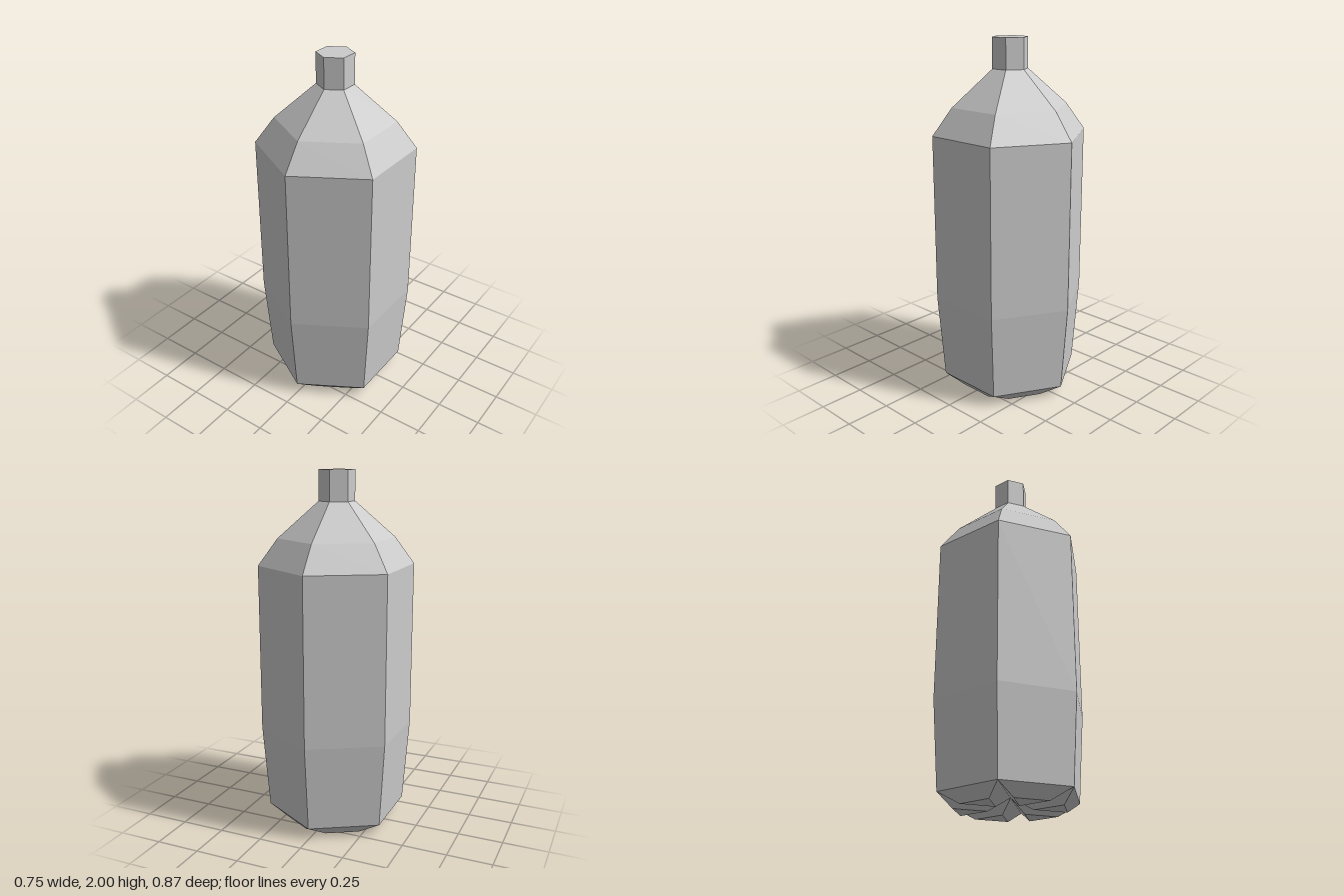
import * as THREE from 'three';

const SIDES = 6;
const BASE_RADIUS = 0.398; // corner radius where the body meets the feet
const FOOT_HEIGHT = 0.065;

export function createModel() {
  const model = new THREE.Group();
  model.name = 'bottle';
  const material = new THREE.MeshStandardMaterial({ color: 0xcccccc, flatShading: true });

  // Six-sided body, shoulder and neck in one turned profile, closed at the top
  const profile = [
    [BASE_RADIUS, FOOT_HEIGHT],
    [0.435, 0.55],
    [0.435, 1.487],
    [0.326, 1.635],
    [0.1, 1.833],
    [0.1, 2],
    [0, 2],
  ].map(([r, y]) => new THREE.Vector2(r, y));
  const body = new THREE.Mesh(new THREE.LatheGeometry(profile, SIDES), material);
  body.name = 'body';
  model.add(body);

  // Six tapered triangular feet, meeting at the centre and closing the base
  const wedgeRadius = BASE_RADIUS / Math.sqrt(3);
  const feet = new THREE.Group();
  feet.name = 'feet';
  for (let i = 0; i < SIDES; i++) {
    const angle = ((i + 0.5) / SIDES) * Math.PI * 2;
    const geometry = new THREE.CylinderGeometry(
      wedgeRadius, 0.11, FOOT_HEIGHT, 3, 1, false, angle + Math.PI);
    const foot = new THREE.Mesh(geometry, material);
    foot.name = `foot${i + 1}`;
    foot.position.set(
      Math.sin(angle) * wedgeRadius, FOOT_HEIGHT / 2, Math.cos(angle) * wedgeRadius);
    feet.add(foot);
  }
  model.add(feet);

  return model;
}
